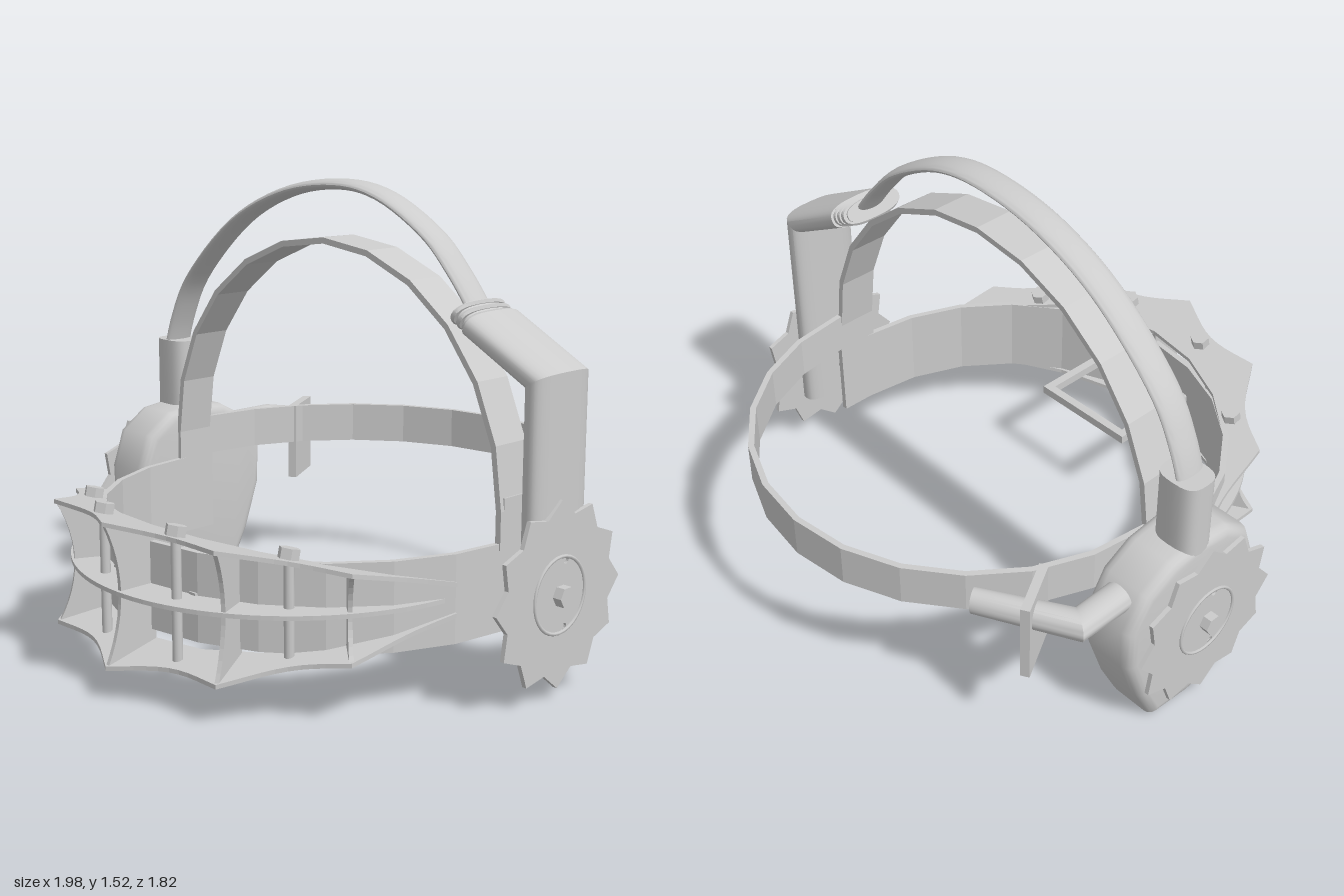
import * as THREE from 'three';
import { toCreasedNormals } from 'three/addons/utils/BufferGeometryUtils.js';

const CX = 0.027, CZ = -0.03, MID = 0.66, HUB_Z = -0.085;
const rad = THREE.MathUtils.degToRad;
const V = (x, y) => new THREE.Vector2(x, y);

export function createModel() {
  const model = new THREE.Group();
  const mat = new THREE.MeshStandardMaterial({ color: 0xcccccc, side: THREE.DoubleSide });

  const add = (name, geo, parent = model) => {
    const m = new THREE.Mesh(geo, mat);
    m.name = name;
    parent.add(m);
    return m;
  };
  const extrude = (outline, depth, opts = {}) =>
    new THREE.ExtrudeGeometry(Array.isArray(outline) ? new THREE.Shape(outline) : outline, { depth, bevelEnabled: false, ...opts });

  // Rounded section swept along a path in the xy plane, mitred at bends
  function sweep(path, half, halfZ, power = 2, sides = 28) {
    const pos = [], idx = [], n = path.length;
    const e = (v) => Math.sign(v) * Math.pow(Math.abs(v), 2 / power);
    path.forEach((p, i) => {
      const d0 = path[i].clone().sub(path[Math.max(i - 1, 0)]).normalize();
      const d1 = path[Math.min(i + 1, n - 1)].clone().sub(p).normalize();
      const t = d0.clone().add(d1).normalize();
      const miter = 1 / Math.max(0.4, t.dot(i ? d0 : d1));
      const w = (Array.isArray(half) ? half[i] : half) * miter;
      for (let j = 0; j < sides; j++) {
        const a = (j / sides) * Math.PI * 2, c = e(Math.cos(a)) * w;
        pos.push(p.x - t.y * c, p.y + t.x * c, e(Math.sin(a)) * halfZ);
      }
    });
    for (let i = 0; i < n - 1; i++) for (let j = 0; j < sides; j++) {
      const a = i * sides + j, b = i * sides + (j + 1) % sides;
      idx.push(a, b, a + sides, b, b + sides, a + sides);
    }
    const end = n * sides;
    pos.push(path[0].x, path[0].y, 0, path[n - 1].x, path[n - 1].y, 0);
    for (let j = 0; j < sides; j++) {
      const k = (j + 1) % sides;
      idx.push(end, k, j, end + 1, end - sides + j, end - sides + k);
    }
    const g = new THREE.BufferGeometry();
    g.setAttribute('position', new THREE.Float32BufferAttribute(pos, 3));
    g.setIndex(idx);
    return toCreasedNormals(g, rad(32));
  }

  // Half-ring strap: twelve flat facets with straight tails
  function halfRing(centre, dir, tail, depth) {
    const pts = [], R = 0.768, r = 0.748;
    pts.push(V(CX + R, centre - dir * tail));
    for (let i = 0; i <= 12; i++) pts.push(V(CX + R * Math.cos(rad(i * 15)), centre + dir * R * Math.sin(rad(i * 15))));
    pts.push(V(CX - R, centre - dir * tail), V(CX - r, centre - dir * tail));
    for (let i = 12; i >= 0; i--) pts.push(V(CX + r * Math.cos(rad(i * 15)), centre + dir * r * Math.sin(rad(i * 15))));
    pts.push(V(CX + r, centre - dir * tail));
    return extrude(pts, depth);
  }
  add('frontBand', halfRing(CZ, 1, 0.12, 0.28).rotateX(Math.PI / 2)).position.y = 0.8;
  add('backBand', halfRing(-0.145, -1, 0.13, 0.14).rotateX(Math.PI / 2)).position.y = 0.94;
  add('overheadBand', halfRing(0.9, 1, 0.12, 0.14)).position.z = -0.14;

  // Visor: scalloped sloping plates, a smooth middle ledge, ribs and bolts
  const tips = [0.94, 0.925, 0.87, 0.775];
  const scallop = (deg) => {
    const a = Math.min(Math.abs(deg), 74.999) / 25, i = Math.floor(a), t = a - i;
    return tips[i] + (tips[i + 1] - tips[i]) * t - [0.065, 0.06, 0.035][i] * Math.sin(Math.PI * t);
  };
  const ledge = (deg) => 0.757 + 0.135 * Math.cos(rad(deg * 1.2));
  const rise = (z) => 0.007 + 0.24 * z;
  const polar = (r, deg) => V(CX + r * Math.sin(rad(deg)), CZ + r * Math.cos(rad(deg)));
  function plate(name, outer, slope) {
    const pts = [];
    for (let d = -75; d <= 75; d += 2.5) pts.push(polar(outer(d), d));
    for (let d = 75; d >= -75; d -= 15) pts.push(polar(0.75, d));
    const g = extrude(pts, 0.014).rotateX(Math.PI / 2).translate(0, MID + 0.007, 0), p = g.attributes.position;
    for (let i = 0; i < p.count; i++) p.setY(i, p.getY(i) + slope * rise(p.getZ(i)));
    g.computeVertexNormals();
    add(name, g);
  }
  plate('visorTopPlate', scallop, 1);
  plate('visorBottomPlate', scallop, -1);
  plate('visorMiddleLedge', ledge, 0);
  for (const d of [-50, -25, 0, 25, 50]) {
    const R = scallop(d) - 0.005, h = (r) => rise(CZ + r * Math.cos(rad(d)));
    const s = new THREE.Shape();
    s.moveTo(0.75, -h(0.75));
    s.lineTo(R, -h(R));
    s.quadraticCurveTo(R - 0.11, 0, R, h(R));
    s.lineTo(0.75, h(0.75));
    const rib = add('visorRib', extrude(s, 0.014).translate(0, 0, -0.007));
    rib.position.set(CX, MID, CZ);
    rib.rotation.y = rad(d) - Math.PI / 2;
  }
  for (const [x, z] of [[-0.15, 0.77], [0.2, 0.77], [-0.47, 0.575], [0.495, 0.59]]) {
    const h = rise(z);
    add('visorRod', new THREE.CylinderGeometry(0.016, 0.016, 2 * h, 12)).position.set(x, MID, z);
    const head = add('visorBolt', new THREE.CylinderGeometry(0.033, 0.033, 0.04, 6).toNonIndexed());
    head.geometry.computeVertexNormals();
    head.position.set(x, MID + h + 0.02, z);
    head.rotation.x = -0.235;
  }

  // U-shaped bracket inside the front band
  for (const x of [-0.16, 0.21])
    add('bracketArm', new THREE.BoxGeometry(0.03, 0.03, 0.37)).position.set(x, MID, 0.535);
  add('bracketBar', new THREE.BoxGeometry(0.4, 0.03, 0.03)).position.set(0.025, MID, 0.365);

  // Toothed side discs with hub pins
  for (const s of [1, -1]) {
    const side = new THREE.Group();
    side.name = s > 0 ? 'leftDisc' : 'rightDisc';
    const teeth = [];
    for (let i = 0; i < 24; i++) {
      const r = i % 2 ? 0.25 : 0.295, a = rad(i * 15);
      teeth.push(V(r * Math.cos(a), r * Math.sin(a)));
    }
    const shape = new THREE.Shape(teeth);
    for (const y of [-0.105, 0.105]) shape.holes.push(new THREE.Path().absarc(0.025, y, 0.012, 0, Math.PI * 2));
    add('toothedDisc', extrude(shape, 0.015, { curveSegments: 6 }).rotateY(Math.PI / 2), side);
    add('discRing', new THREE.TorusGeometry(0.12, 0.006, 6, 32).rotateY(Math.PI / 2), side).position.x = 0.015;
    add('pinShaft', new THREE.CylinderGeometry(0.022, 0.022, 0.18, 12).rotateZ(Math.PI / 2), side).position.x = -0.065;
    const head = new THREE.CylinderGeometry(0.034, 0.034, 0.035, 6).rotateZ(Math.PI / 2).toNonIndexed();
    head.computeVertexNormals();
    add('pinHead', head, side).position.x = 0.028;
    side.position.set(s * 0.944, MID, HUB_Z);
    if (s < 0) side.rotation.y = Math.PI;
    model.add(side);
  }

  // Ear pod with neck
  const outline = [[0.13, 0.46], [0.05, 0.36], [-0.12, 0.33], [-0.28, 0.34], [-0.345, 0.47], [-0.405, 0.64], [-0.41, 0.79],
    [-0.34, 0.91], [-0.23, 0.97], [-0.1, 0.985], [0.02, 0.97], [0.12, 0.9], [0.165, 0.77], [0.16, 0.6]];
  const pod = extrude(outline.map(([z, y]) => V(z, y)), 0.12,
    { bevelEnabled: true, bevelThickness: 0.04, bevelSize: 0.035, bevelOffset: -0.035, bevelSegments: 4 });
  add('earPod', toCreasedNormals(pod, rad(42)).rotateY(-Math.PI / 2)).position.x = -0.775;
  add('podNeck', sweep([V(-0.857, 0.9), V(-0.857, 1.22)], 0.078, 0.065, 3)).position.z = -0.115;

  // Overhead tube, flattened in section
  const arc = new THREE.SplineCurve([[-0.885, 1.13], [-0.83, 1.305], [-0.73, 1.475], [-0.5, 1.68], [-0.25, 1.795], [0, 1.833],
    [0.2, 1.805], [0.4, 1.7], [0.52, 1.585], [0.615, 1.465]].map(([x, y]) => V(x, y)));
  add('overheadTube', sweep(arc.getPoints(48), 0.018, 0.055)).position.z = -0.11;

  // Elbow pipe and ribbed collar
  const start = V(0.63, 1.458), bend = V(0.905, 1.31), dir = bend.clone().sub(start).normalize();
  const along = (d) => start.clone().addScaledVector(dir, d);
  add('elbowPipe', sweep([along(0.02), bend, V(0.905, 0.545)], 0.045, 0.127, 2.8)).position.z = -0.11;
  add('collarCore', sweep([along(-0.05), along(0.03)], 0.036, 0.105, 2.5)).position.z = -0.11;
  for (let i = 0; i < 3; i++) {
    const d = -0.045 + i * 0.026;
    add('collarRib', sweep([along(d), along(d + 0.008), along(d + 0.016)], [0.038, 0.046, 0.038], 0.118, 2.6)).position.z = -0.11;
  }

  // Rear arm bent off the pod, with a hanging clip plate
  const arm = sweep([V(-0.835, -0.36), V(-0.835, -0.53), V(-0.55, -0.69)], [0.052, 0.05, 0.036], 0.045).rotateX(Math.PI / 2);
  add('rearArm', arm).position.y = 0.865;
  const clip = add('armClip', new THREE.BoxGeometry(0.03, 0.28, 0.2));
  clip.position.set(-0.69, 0.8, -0.57);
  clip.rotation.y = rad(30);

  return model;
}
